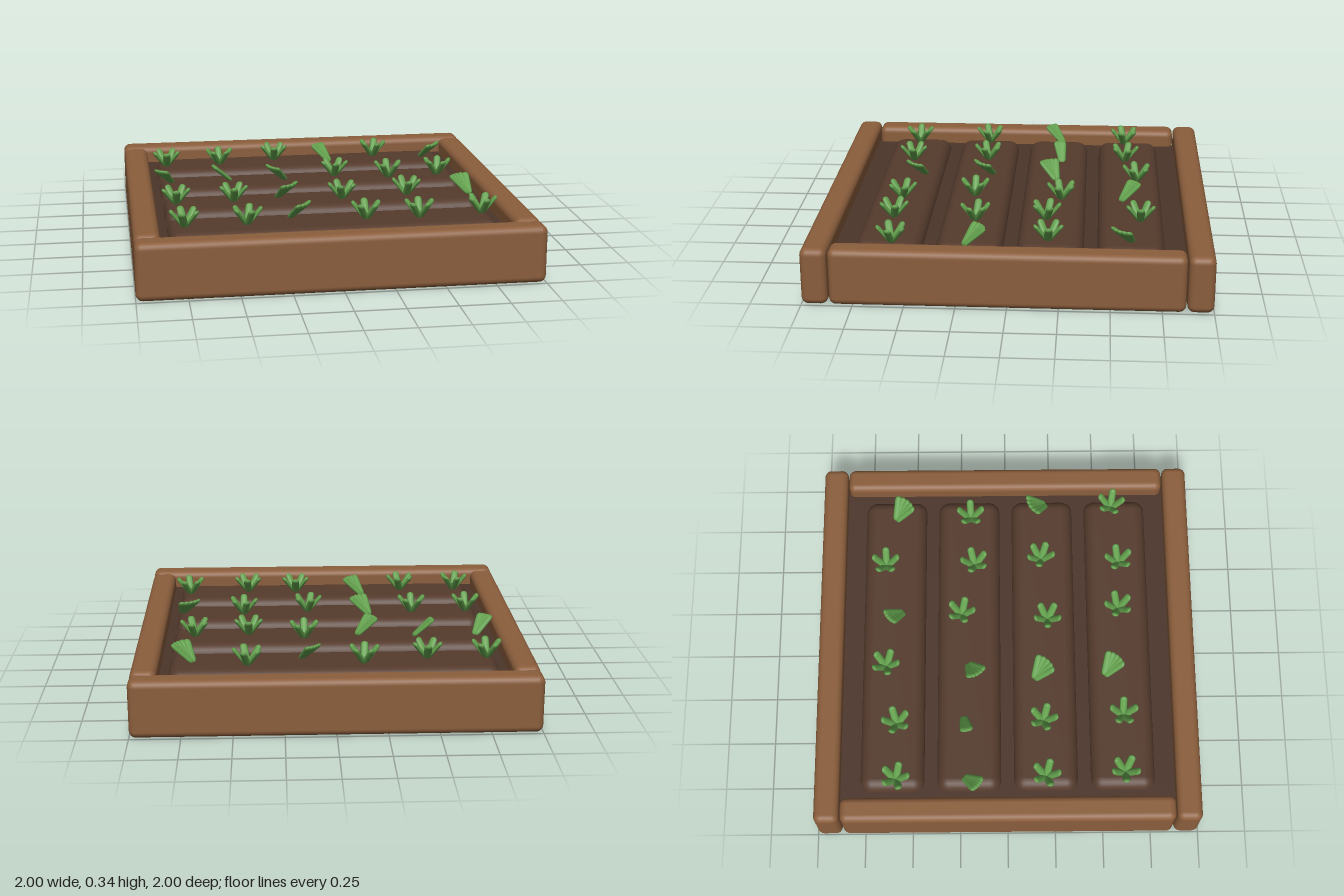
import * as THREE from 'three';
import { RoundedBoxGeometry } from 'three/addons/geometries/RoundedBoxGeometry.js';

const mat = (name, color) => {
  const m = new THREE.MeshStandardMaterial({ color });
  m.name = name;
  return m;
};

export function createModel() {
  const model = new THREE.Group();
  model.name = 'gardenBed';
  const wood = mat('wood', 0x8b5e3c);
  const soil = mat('soil', 0x4b3529);
  const tilled = mat('tilled soil', 0x553b2d);
  const green = mat('leaf green', 0x62a04c);

  const add = (name, geometry, material, x, y, z, parent = model) => {
    const mesh = new THREE.Mesh(geometry, material);
    mesh.name = name;
    mesh.position.set(x, y, z);
    parent.add(mesh);
    return mesh;
  };

  // Wooden frame: long boards front and back, shorter ones between them
  const longBoard = new RoundedBoxGeometry(2, 0.29, 0.13, 4, 0.035);
  const sideBoard = new RoundedBoxGeometry(0.13, 0.29, 1.73, 4, 0.035);
  for (const s of [1, -1]) {
    add(s > 0 ? 'frontBoard' : 'backBoard', longBoard, wood, 0, 0.145, s * 0.935);
    add(s > 0 ? 'leftBoard' : 'rightBoard', sideBoard, wood, s * 0.935, 0.145, 0);
  }

  // Soil bed filling the frame
  add('soilBed', new THREE.BoxGeometry(1.8, 0.18, 1.8), soil, 0, 0.11, 0);

  // Four raised planting rows
  const mound = new RoundedBoxGeometry(1.65, 0.14, 0.335, 4, 0.06);
  for (let r = 0; r < 4; r++) add('plantingRow', mound, tilled, 0, 0.18, -0.6 + r * 0.4);

  // Seedlings: x, z, lean direction in degrees (x towards z), fan angle of the leaves
  const seedlings = [
    [-0.77, -0.58, 90, 290], [-0.47, -0.58, 270, 290], [-0.15, -0.64, 240, 290],
    [0.13, -0.59, 230, 40], [0.43, -0.65, 0, 290], [0.74, -0.57, 40, 60],
    [-0.79, -0.19, 130, 35], [-0.48, -0.22, 170, 20], [-0.18, -0.18, 150, 50],
    [0.14, -0.24, 90, 290], [0.43, -0.17, 270, 290], [0.71, -0.19, 70, 290],
    [-0.76, 0.2, 90, 290], [-0.46, 0.19, 90, 290], [-0.19, 0.18, 45, 60],
    [0.11, 0.22, 180, 290], [0.46, 0.19, 320, 260], [0.77, 0.18, 240, 60],
    [-0.74, 0.61, 105, 300], [-0.43, 0.61, 0, 300], [-0.17, 0.55, 40, 55],
    [0.17, 0.6, 270, 290], [0.44, 0.61, 60, 290], [0.77, 0.58, 300, 280],
  ];

  // Flattened leaf blade growing from the origin along +y
  const leafLength = 0.13;
  const leaf = new THREE.CapsuleGeometry(0.02, leafLength - 0.04, 3, 8);
  leaf.translate(0, leafLength / 2, 0);
  leaf.scale(1, 1, 0.55);

  for (const [x, z, lean, fan] of seedlings) {
    const plant = new THREE.Group();
    plant.name = 'seedling';
    const narrow = fan < 100;
    const dir = THREE.MathUtils.degToRad(lean);
    const shift = narrow ? 0.05 : 0;
    plant.position.set(x - Math.cos(dir) * shift, 0.245, z - Math.sin(dir) * shift);
    const tilt = narrow ? 0.87 : 0.68;
    for (let i = 0; i < 5; i++) {
      const a = dir + THREE.MathUtils.degToRad(fan) * (i / 4 - 0.5);
      const blade = add('leaf', leaf, green, 0, 0, 0, plant);
      blade.rotation.order = 'YXZ';
      blade.rotation.set(tilt, Math.PI / 2 - a, 0);
      blade.scale.y = 0.092 / (leafLength * Math.cos(tilt));
    }
    model.add(plant);
  }
  return model;
}
